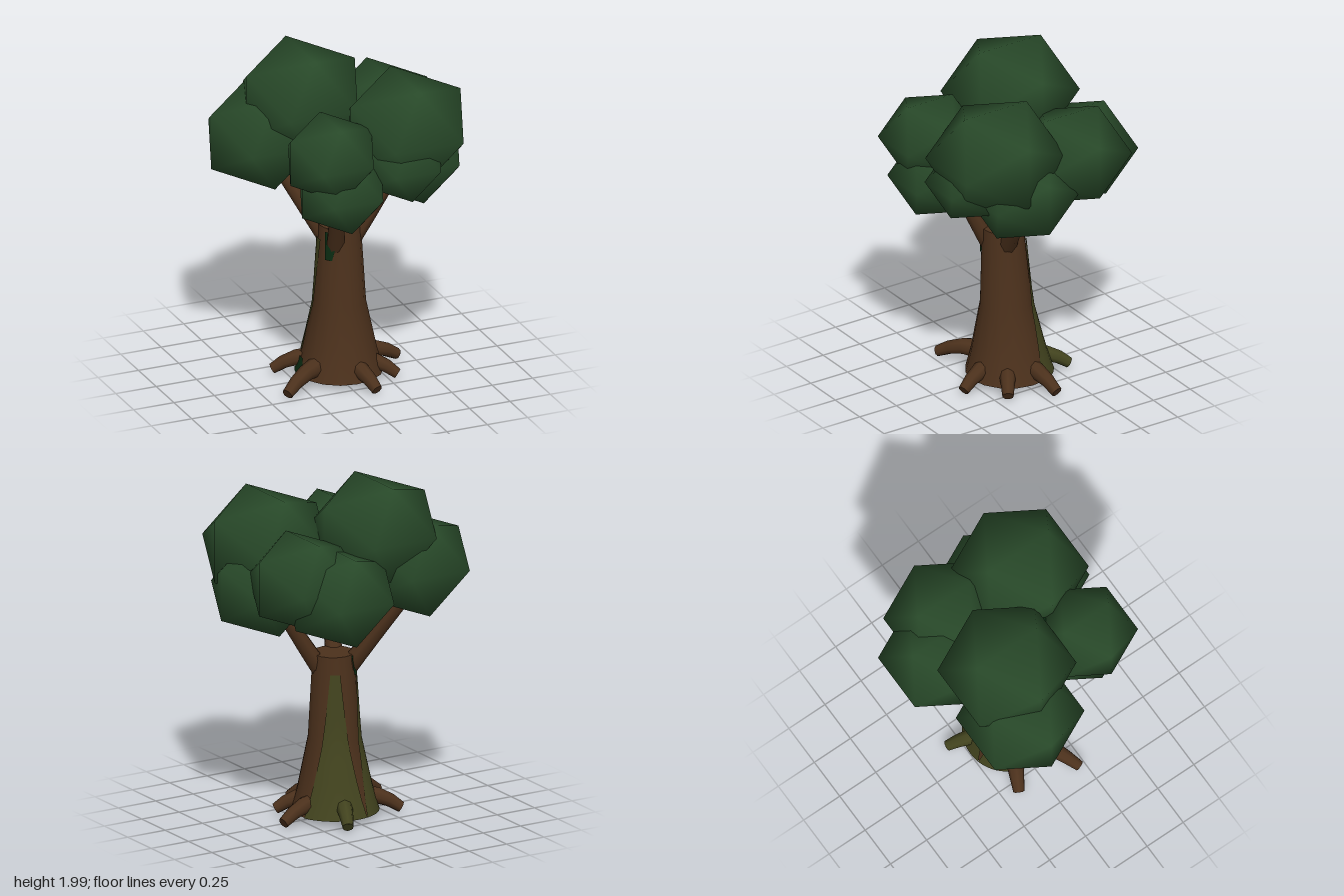
import * as THREE from 'three';
import { mergeVertices, mergeGeometries } from 'three/addons/utils/BufferGeometryUtils.js';

const paint = (name, color) => Object.assign(new THREE.MeshStandardMaterial({ color }), { name });
const V = (p) => new THREE.Vector3(...p);

// trunk outline as [radius, height], and its slightly leaning axis
const PROFILE = [[0.25, 0.04], [0.213, 0.17], [0.15, 0.47], [0.12, 0.96]];
const axisX = (y) => 0.025 - 0.015 * y;
const axisZ = (y) => 0.035 * y;

function trunkRadius(y) {
  for (let i = 1; i < PROFILE.length; i++) {
    const [r0, y0] = PROFILE[i - 1], [r1, y1] = PROFILE[i];
    if (y <= y1) return THREE.MathUtils.mapLinear(y, y0, y1, r0, r1);
  }
  return PROFILE[PROFILE.length - 1][0];
}

// wall and top kept apart so the rim stays sharp; open underneath
function trunkGeometry() {
  const lathe = (points) => new THREE.LatheGeometry(points.map((p) => new THREE.Vector2(...p)), 16);
  const geo = mergeGeometries([lathe(PROFILE), lathe([PROFILE[3], [0, 0.96]])]);
  const pos = geo.attributes.position;
  for (let i = 0; i < pos.count; i++) {
    const y = pos.getY(i);
    pos.setXYZ(i, pos.getX(i) + axisX(y), y, pos.getZ(i) + axisZ(y));
  }
  return geo;
}

// thin patch lying on the bark, from angles [b0, b1] at y0 to [t0, t1] at y1,
// in degrees from the front towards +x
function barkPatch([b0, b1], [t0, t1], y0, y1) {
  const geo = new THREE.PlaneGeometry(1, 1, 8, 8);
  const pos = geo.attributes.position;
  const { lerp, degToRad } = THREE.MathUtils;
  for (let i = 0; i < pos.count; i++) {
    const u = pos.getX(i) + 0.5, v = pos.getY(i) + 0.5;
    const y = lerp(y0, y1, v);
    const a = degToRad(lerp(lerp(b0, t0, v), lerp(b1, t1, v), u));
    const r = trunkRadius(y) + 0.006;
    pos.setXYZ(i, axisX(y) + Math.sin(a) * r, y, axisZ(y) + Math.cos(a) * r);
  }
  geo.computeVertexNormals();
  return geo;
}

// tapered tube with a closed tip
function limbGeometry(points, r0, r1, steps = 5, sides = 8) {
  const curve = new THREE.CatmullRomCurve3(points.map(V));
  const tube = new THREE.TubeGeometry(curve, steps, 1, sides);
  const pos = tube.attributes.position, p = new THREE.Vector3();
  for (let i = 0; i < pos.count; i++) {
    const t = Math.floor(i / (sides + 1)) / steps;
    const c = curve.getPointAt(t);
    p.fromBufferAttribute(pos, i).sub(c).multiplyScalar(r0 + (r1 - r0) * t).add(c);
    pos.setXYZ(i, p.x, p.y, p.z);
  }
  const tip = new THREE.CircleGeometry(r1, sides);
  tip.applyQuaternion(new THREE.Quaternion().setFromUnitVectors(V([0, 0, 1]), curve.getTangentAt(1)));
  tip.translate(...curve.getPointAt(1).toArray());
  return mergeGeometries([tube, tip]);
}

// smooth-shaded, slightly flattened twenty-sided leaf clump
function clumpGeometry(radius) {
  const raw = new THREE.IcosahedronGeometry(radius, 0);
  raw.deleteAttribute('normal');
  raw.deleteAttribute('uv');
  const geo = mergeVertices(raw, 1e-4);
  geo.rotateZ(Math.PI / 2);
  geo.scale(1, 0.87, 1);
  geo.computeVertexNormals();
  return geo;
}

export function createModel() {
  const bark = paint('bark', 0x4c311c);
  const moss = paint('moss', 0x42431e);
  const leaf = paint('leaf', 0x284929);
  const darkLeaf = paint('darkLeaf', 0x0b2c12);
  bark.side = moss.side = darkLeaf.side = THREE.DoubleSide;

  const tree = new THREE.Group();
  tree.name = 'tree';
  const add = (name, geo, mat) => {
    const mesh = new THREE.Mesh(geo, mat);
    mesh.name = name;
    tree.add(mesh);
    return mesh;
  };

  add('trunk', trunkGeometry(), bark);

  // moss on the rear of the trunk
  add('mossRight', barkPatch([106, 195], [140, 165], 0.04, 0.86), moss);
  add('mossLeft', barkPatch([195, 246], [222, 280], 0.04, 0.88), moss);

  // ivy below the branches and between the roots
  add('ivyFront', barkPatch([-60, -42], [-64, -24], 0.77, 0.94), darkLeaf);
  add('ivyBack', barkPatch([212, 228], [202, 240], 0.84, 0.955), darkLeaf);
  add('ivyBase', barkPatch([246, 282], [256, 270], 0.04, 0.14), darkLeaf);

  // branches reaching into the crown
  const branches = [
    [[0.07, 0.84, 0.05], [0.2, 1.05, 0.08], [0.35, 1.3, 0.11]],
    [[-0.05, 0.86, -0.01], [-0.15, 1.05, -0.11], [-0.28, 1.3, -0.25]],
    [[-0.04, 0.84, 0.09], [-0.07, 1.03, 0.18], [-0.11, 1.28, 0.3]],
  ];
  for (const points of branches) add('branch', limbGeometry(points, 0.055, 0.038), bark);

  // roots: tip positions on the ground plan
  const roots = [
    [0.41, -0.07], [0.3, 0.19], [0.1, 0.36], [-0.39, 0.21], [-0.32, -0.16], [0.14, -0.33, moss],
  ];
  for (const [x, z, mat = bark] of roots) {
    const points = [[x * 0.2, 0.12, z * 0.2], [x * 0.7, 0.1, z * 0.7], [x, 0.035, z]];
    add('root', limbGeometry(points, 0.065, 0.032, 4), mat);
  }

  // crown: x, y, z, radius
  const clumps = [
    [-0.16, 1.7, -0.13, 0.395],
    [0.31, 1.59, 0.28, 0.4],
    [-0.2, 1.54, 0.39, 0.295],
    [-0.375, 1.485, -0.19, 0.365],
    [-0.13, 1.32, 0.38, 0.288],
    [0.24, 1.44, 0.4, 0.265],
    [0.4, 1.37, 0.16, 0.33],
    [0.36, 1.495, -0.2, 0.345],
    [0.205, 1.42, -0.345, 0.345],
  ];
  for (const [x, y, z, r] of clumps) add('leafClump', clumpGeometry(r), leaf).position.set(x, y, z);

  // shaded heart of the crown, seen through the gaps
  const core = new THREE.SphereGeometry(1, 16, 10);
  core.scale(0.36, 0.23, 0.34);
  add('crownCore', core, darkLeaf).position.set(0.03, 1.43, 0.03);

  return tree;
}
